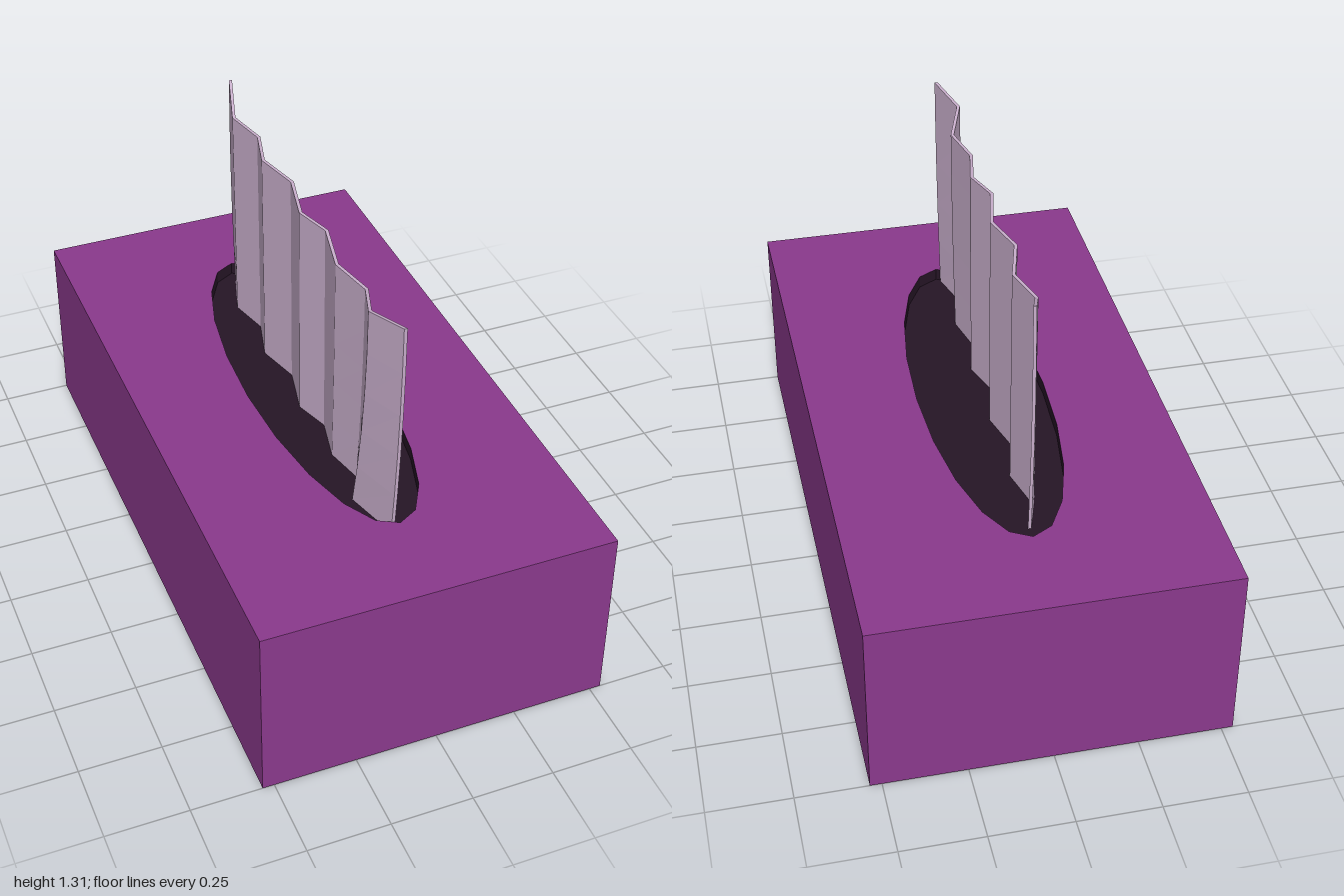
import * as THREE from 'three';

const WIDTH = 1.07, HEIGHT = 0.577, LENGTH = 2;
const OPENING = { rx: 0.2, rz: 0.705, depth: 0.04, sides: 20 };

function named(name, geometry, material) {
  const mesh = new THREE.Mesh(geometry, material);
  mesh.name = name;
  return mesh;
}

// Rectangular lid with the faceted oval opening cut through it
function lidGeometry() {
  const w = WIDTH / 2, l = LENGTH / 2;
  const shape = new THREE.Shape([[-w, -l], [w, -l], [w, l], [-w, l]].map(p => new THREE.Vector2(...p)));
  const oval = [];
  for (let i = 0; i < OPENING.sides; i++) {
    const a = (i / OPENING.sides) * Math.PI * 2;
    oval.push(new THREE.Vector2(Math.sin(a) * OPENING.rx, Math.cos(a) * OPENING.rz));
  }
  shape.holes.push(new THREE.Path(oval));
  return new THREE.ShapeGeometry(shape).rotateX(-Math.PI / 2).translate(0, HEIGHT, 0);
}

// Box sides and base, with the top face left out
function boxGeometry() {
  const g = new THREE.BoxGeometry(WIDTH, HEIGHT, LENGTH).translate(0, HEIGHT / 2, 0);
  const index = Array.from(g.index.array);
  index.splice(12, 6);
  g.setIndex(index);
  g.clearGroups();
  return g;
}

// Thin pleated sheet: each column is one fold, [z, x, top height, shift of z at the base]
function tissueGeometry() {
  const folds = [
    [-0.635, -0.01, 1.31, 0.01], [-0.51, -0.045, 1.25, 0], [-0.38, -0.012, 1.245, 0],
    [-0.24, -0.05, 1.25, 0], [-0.1, -0.012, 1.246, 0], [0.06, -0.048, 1.243, 0],
    [0.17, -0.012, 1.24, 0], [0.32, -0.042, 1.226, -0.01], [0.46, -0.012, 1.225, -0.03],
    [0.59, -0.058, 1.25, -0.07], [0.725, -0.014, 1.27, -0.033],
  ];
  const n = folds.length - 1, base = HEIGHT - OPENING.depth;
  const g = new THREE.BoxGeometry(0.01, 1, 1, 1, 5, n);
  const p = g.attributes.position;
  for (let i = 0; i < p.count; i++) {
    const [z, x, top, shift] = folds[Math.round((p.getZ(i) + 0.5) * n)];
    const h = p.getY(i) + 0.5;
    const droop = (1 - h) ** 2;
    const bulge = z < -0.6 ? -0.01 * Math.sin(h * Math.PI) : 0;
    p.setXYZ(i, p.getX(i) + x + shift * 0.1 * droop, base + (top - base) * h, z + shift * droop + bulge);
  }
  g.computeVertexNormals();
  return g;
}

export function createModel() {
  const purple = new THREE.MeshStandardMaterial({ color: 0x8a398c, flatShading: true });
  const dark = new THREE.MeshStandardMaterial({ color: 0x261526, flatShading: true, side: THREE.DoubleSide });
  const paper = new THREE.MeshStandardMaterial({ color: 0xc8aecb, flatShading: true });

  const { rx, rz, depth, sides } = OPENING;
  const wall = new THREE.CylinderGeometry(1, 1, depth, sides, 1, true)
    .scale(rx, 1, rz).translate(0, HEIGHT - depth / 2, 0);
  // Floor corners line up with the opening, whose tips lie on the z axis
  const floor = new THREE.CircleGeometry(1, sides, Math.PI / 2)
    .rotateX(-Math.PI / 2).scale(rx, 1, rz).translate(0, HEIGHT - depth, 0);

  const model = new THREE.Group();
  model.name = 'tissueBox';
  model.add(
    named('boxBody', boxGeometry(), purple),
    named('boxLid', lidGeometry(), purple),
    named('openingWall', wall, dark),
    named('openingFloor', floor, dark),
    named('tissue', tissueGeometry(), paper),
  );
  return model;
}
